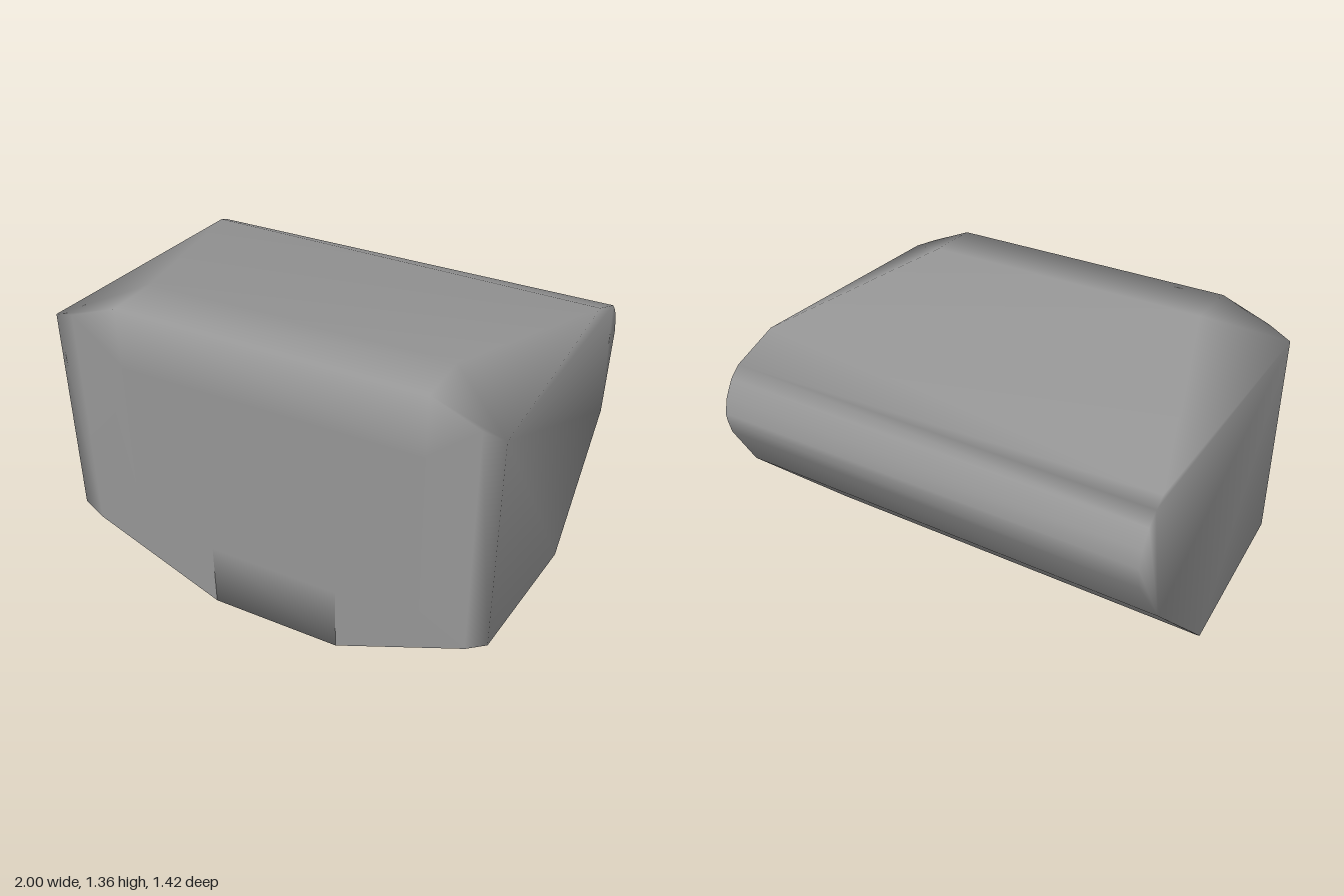
import * as THREE from 'three';
import { ConvexGeometry } from 'three/addons/geometries/ConvexGeometry.js';
import { mergeVertices } from 'three/addons/utils/BufferGeometryUtils.js';

const material = new THREE.MeshStandardMaterial({ color: 0x969696 });

// corner points of the solid
function bodyPoints() {
  const points = [];
  const add = (x, y, z) => points.push(new THREE.Vector3(x, y, z));
  const both = (x, y, z) => { add(x, y, z); add(-x, y, z); };

  // rounded back edge, running the full width: [z, y]
  const backProfile = [
    [-0.6, 1.155], [-0.65, 1.11], [-0.69, 1.04], [-0.71, 0.97], [-0.705, 0.93], [-0.69, 0.87],
  ];
  for (const [z, y] of backProfile) both(0.975, y, z);

  // slanted underside of the back and the widest line of the sides
  both(1, 0.65, -0.555);
  both(1, 0.175, -0.07);
  both(0.975, 0.135, -0.03);

  // chamfered corners of the front
  both(0.97, 1.24, 0.68);
  both(0.97, 0.28, 0.68);
  add(-0.86, 1.278, 0.71);
  add(0.89, 1.274, 0.71);
  for (const x of [-0.86, 0.89]) add(x, 0.25, 0.71);

  // flat ridge of the top, and the flat panel of the front below it
  for (const x of [-0.64, 0.69]) {
    add(x, 1.36, 0.71);
    add(x, 1.36, 0.47);
    add(x, 1.1, 0.712);
    add(x, 0.34, 0.712);
  }

  // uneven rear corners of the top
  add(0.97, 1.24, 0.45);
  add(0.97, 1.24, -0.39);
  add(-0.97, 1.18, -0.54);

  // narrow foot and its corner on one side
  for (const x of [-0.27, 0.32]) {
    add(x, 0.3, 0.712);
    add(x, 0, 0.71);
  }
  add(0.32, 0.002, 0.45);
  add(0.76, 0.012, 0.21);
  add(0.7, 0.035, 0.15);
  return points;
}

// the part of the surface a triangle belongs to
function partOf(triangle) {
  const c = triangle.getMidpoint(new THREE.Vector3());
  const n = triangle.getNormal(new THREE.Vector3());
  if (c.z > 0.705) {
    if (c.y > 1.1 || Math.abs(c.x) > 0.65) return 'shell';
    return c.y < 0.25 && Math.abs(c.x) < 0.2 ? 'underside' : 'frontPanel';
  }
  return n.y < -0.8 ? 'underside' : 'shell';
}

export function createModel() {
  const group = new THREE.Group();
  const position = new ConvexGeometry(bodyPoints()).getAttribute('position');
  const parts = { shell: [], frontPanel: [], underside: [] };
  for (let i = 0; i < position.count; i += 3) {
    const corners = [0, 1, 2].map((k) => new THREE.Vector3().fromBufferAttribute(position, i + k));
    parts[partOf(new THREE.Triangle(...corners))].push(...corners);
  }

  // each part is smooth within itself and creased against the others
  for (const [name, corners] of Object.entries(parts)) {
    const geometry = mergeVertices(new THREE.BufferGeometry().setFromPoints(corners));
    geometry.computeVertexNormals();
    const mesh = new THREE.Mesh(geometry, material);
    mesh.name = name;
    group.add(mesh);
  }
  return group;
}
